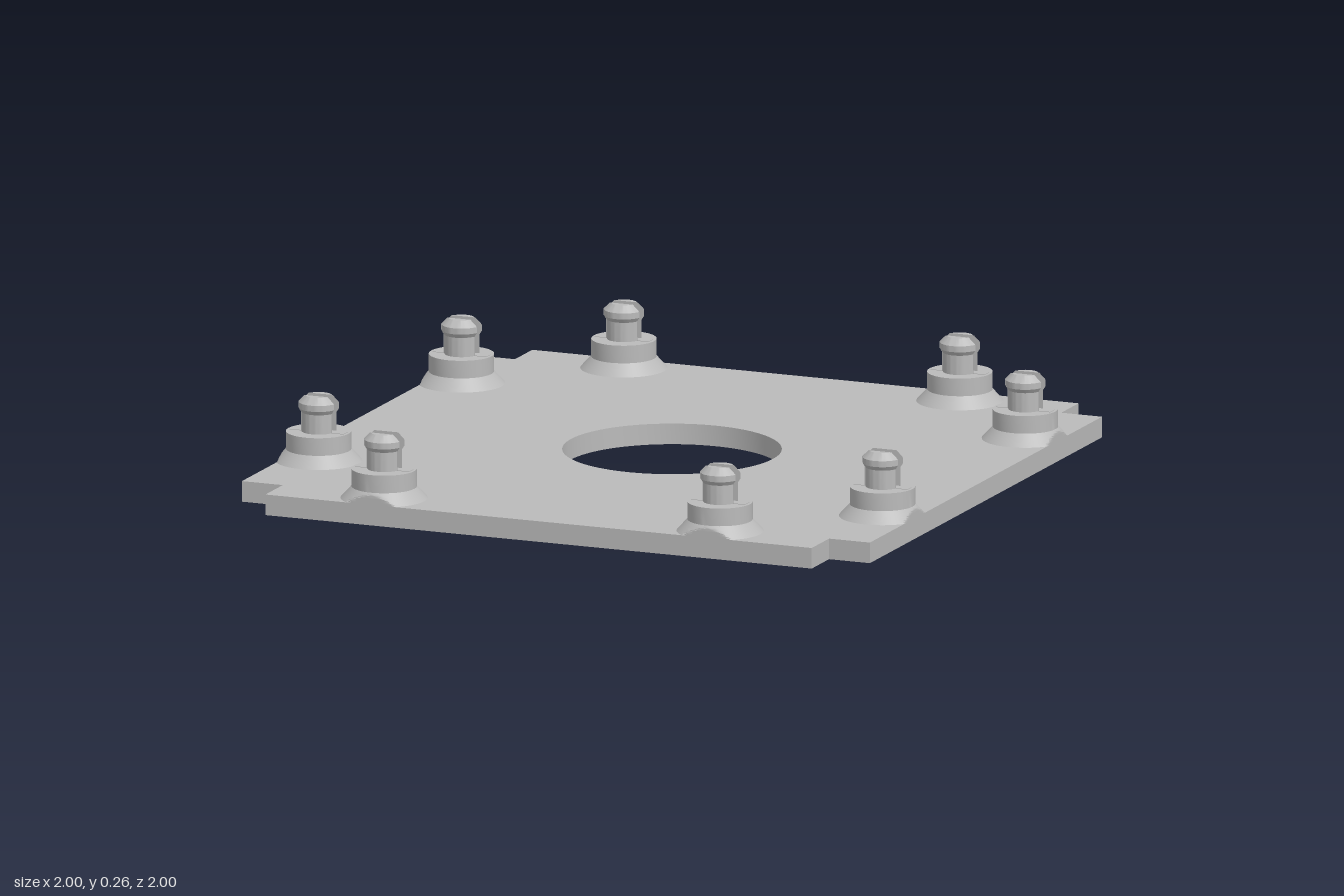
import * as THREE from 'three';
import { toCreasedNormals } from 'three/addons/utils/BufferGeometryUtils.js';

const THICK = 0.062;  // plate thickness
const NOTCH = 0.13;   // square corner cut-outs
const SLOT = 0.016;   // half width of the slot in each pin

const clamp = THREE.MathUtils.clamp;

// Turned solid whose vertices are then pressed against flat limits by a rule
function turned(profile, rule) {
  const geo = new THREE.LatheGeometry(profile.map(([r, y]) => new THREE.Vector2(r, y)), 48);
  const p = geo.attributes.position;
  const v = new THREE.Vector3();
  for (let i = 0; i < p.count; i++) {
    rule(v.fromBufferAttribute(p, i));
    p.setXYZ(i, v.x, v.y, v.z);
  }
  return toCreasedNormals(geo, 0.45);
}

// Flat plate with notched corners and a round central opening
function plateGeometry() {
  const a = 1, b = 1 - NOTCH;
  const outline = [
    [-b, -a], [b, -a], [b, -b], [a, -b], [a, b], [b, b],
    [b, a], [-b, a], [-b, b], [-a, b], [-a, -b], [-b, -b],
  ];
  const shape = new THREE.Shape(outline.map(([x, y]) => new THREE.Vector2(x, y)));
  const hole = new THREE.Path();
  hole.absarc(0, 0, 0.322, 0, Math.PI * 2, true);
  shape.holes.push(hole);
  const geo = new THREE.ExtrudeGeometry(shape, { depth: THICK, bevelEnabled: false, curveSegments: 48 });
  geo.rotateX(-Math.PI / 2);
  return toCreasedNormals(geo, 0.45);
}

export function createModel() {
  const model = new THREE.Group();
  model.name = 'mountingPlate';
  const grey = new THREE.MeshStandardMaterial({ color: 0xbababa });
  grey.name = 'grey';

  const add = (parent, name, geo) => {
    const mesh = new THREE.Mesh(geo, grey);
    mesh.name = name;
    parent.add(mesh);
    return mesh;
  };

  add(model, 'plate', plateGeometry());

  // Sloping foot in fine steps, then the straight collar and its top
  const collarProfile = [];
  for (let i = 0; i <= 8; i++) {
    collarProfile.push([0.128 - 0.032 * i / 8, THICK + 0.035 * i / 8]);
  }
  collarProfile.push([0.096, 0.15], [0, 0.15]);

  // Stem with a slightly wider, chamfered head
  const pinProfile = [
    [0.05, 0.148], [0.05, 0.208], [0.058, 0.22],
    [0.058, 0.238], [0.038, 0.258], [0, 0.258],
  ];
  const pinHalf = turned(pinProfile, (v) => { v.z = Math.max(v.z, SLOT); });
  const slotFloor = new THREE.BoxGeometry(0.172, 0.003, SLOT * 2);

  // Eight split pins, two along every edge
  const spots = [];
  for (const sx of [-1, 1]) {
    for (const sz of [-1, 1]) {
      spots.push([sx * 0.535, sz * 0.898], [sx * 0.898, sz * 0.535]);
    }
  }
  for (const [x, z] of spots) {
    const peg = new THREE.Group();
    peg.name = 'peg';
    peg.position.set(x, 0, z);
    // The foot is cut off flush with the plate edge
    add(peg, 'collar', turned(collarProfile, (v) => {
      v.x = clamp(v.x + x, -1, 1) - x;
      v.z = clamp(v.z + z, -1, 1) - z;
    }));
    add(peg, 'pinHalfFront', pinHalf);
    add(peg, 'pinHalfBack', pinHalf).rotation.y = Math.PI;
    add(peg, 'slotFloor', slotFloor).position.y = 0.15;
    model.add(peg);
  }
  return model;
}
